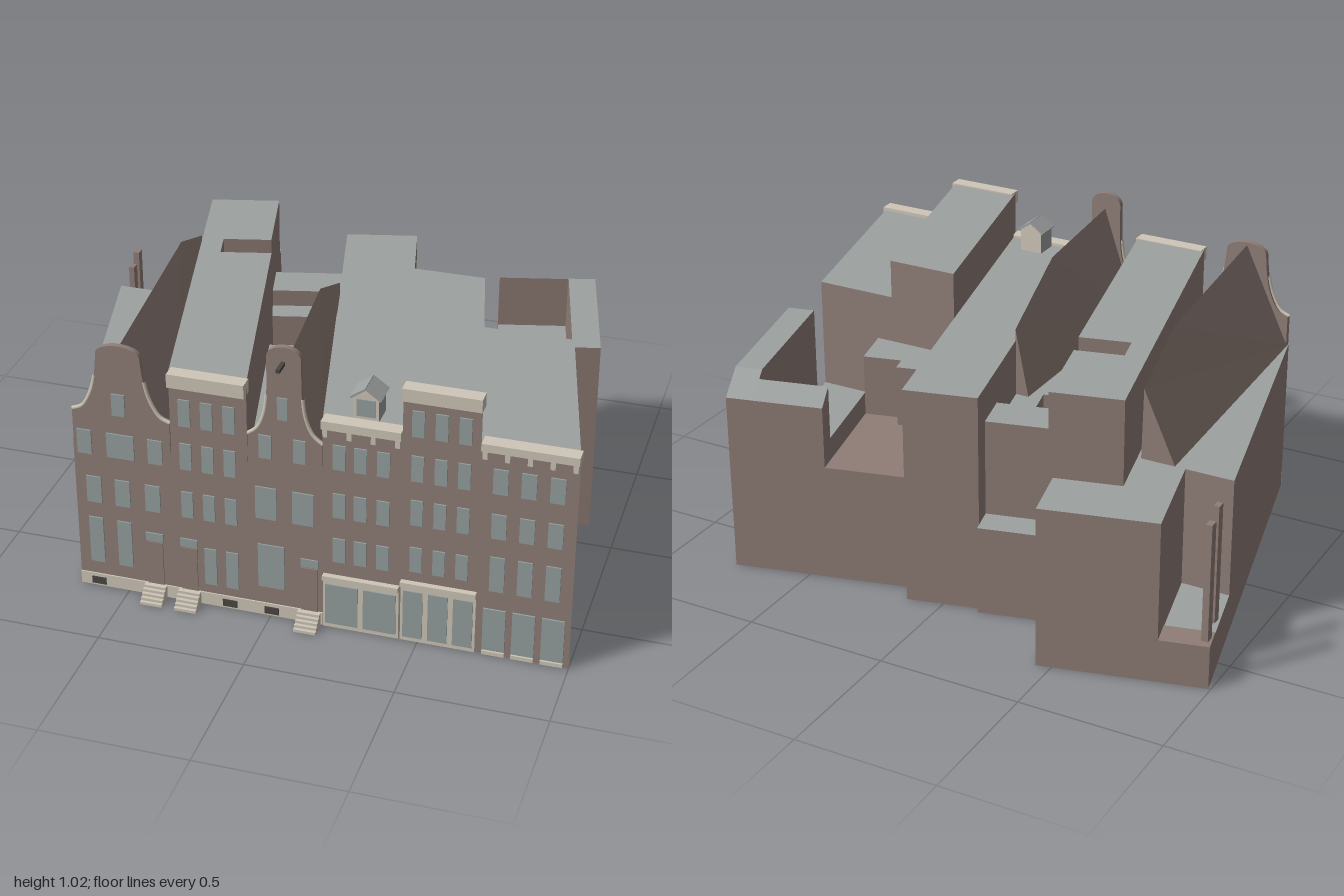
import * as THREE from 'three';

const mat = (name, color) => {
  const m = new THREE.MeshStandardMaterial({ color });
  m.name = name;
  return m;
};

export function createModel() {
  const brick = mat('brick', 0x8f7d76);
  const roof = mat('roofGrey', 0x9da1a0);
  const glass = mat('windowGlass', 0x95a09f);
  const trim = mat('paleTrim', 0xcfc7b8);
  const iron = mat('darkIron', 0x4b4644);
  const model = new THREE.Group();
  model.name = 'canalHouseRow';
  const FRONT = 0.72, LEAN = 0.235;

  const add = (name, geo, material) => {
    const m = new THREE.Mesh(geo, material);
    m.name = name;
    model.add(m);
    return m;
  };
  // box given by its extents
  const box = (name, x0, x1, y0, y1, z0, z1, material) => {
    const g = new THREE.BoxGeometry(x1 - x0, y1 - y0, z1 - z0);
    g.translate((x0 + x1) / 2, (y0 + y1) / 2, (z0 + z1) / 2);
    return add(name, g, material);
  };

  // plots lean sideways toward the back; u is the position along the street
  const plotPoint = (u, z) => new THREE.Vector2(u - LEAN * (FRONT - z), -z);
  const street = (z) => (u) => plotPoint(u, z); // edge parallel to the street
  const square = (w) => (u) => plotPoint(u, w - LEAN * u); // edge square to the leaning walls
  const prism = (name, pts, y0, y1, top) => {
    const g = new THREE.ExtrudeGeometry(new THREE.Shape(pts), { depth: y1 - y0, bevelEnabled: false });
    g.rotateX(-Math.PI / 2);
    g.translate(0, y0, 0);
    return add(name, g, [top, brick]);
  };
  // block between two party walls, standing on a brick base
  const plot = (name, height, u0, u1, front, back, top = roof) => {
    const pts = [front(u0), front(u1), back(u1), back(u0)];
    prism(name + 'Base', pts, 0, 0.004, brick);
    return prism(name, pts, 0.004, height, top);
  };
  // block whose top falls toward its back edge
  const slopedPlot = (name, height, backHeight, u0, u1, w0, w1) => {
    const g = plot(name, height, u0, u1, square(w0), square(w1)).geometry;
    const p = g.attributes.position;
    for (let i = 0; i < p.count; i++) {
      const z = p.getZ(i), u = p.getX(i) + LEAN * (FRONT - z);
      if (p.getY(i) > 0.1 && z + LEAN * u < (w0 + w1) / 2) p.setY(i, backHeight);
    }
    g.computeVertexNormals();
  };

  // bell gable house with rear wing and corner terrace
  plot('bellGableHouse', 0.57, -0.67, -0.33, street(FRONT), street(-0.33));
  plot('bellGableRear', 0.57, -0.5, -0.33, street(-0.33), square(-0.81));
  plot('bellGableWing', 0.57, -0.33, -0.095, square(-0.6), square(-0.81));
  plot('cornerTerrace', 0.15, -0.67, -0.5, street(-0.33), square(-0.81));
  plot('terraceFloor', 0.154, -0.67, -0.5, square(-0.72), square(-0.81), brick);
  box('terracePost', -0.975, -0.952, 0.15, 0.57, -0.63, -0.6, brick);
  box('terracePost', -0.945, -0.925, 0.15, 0.57, -0.51, -0.48, brick);
  // tall house around a light well
  plot('tallHouse', 0.87, -0.33, -0.07, street(FRONT), square(-0.19));
  plot('tallHouseLink', 0.87, -0.33, -0.253, square(-0.19), square(-0.29));
  plot('tallHouseRear', 0.87, -0.33, -0.08, square(-0.29), square(-0.605));
  // neck gable house, light well and stepped rear rooms
  plot('neckGableHouse', 0.58, -0.07, 0.18, street(FRONT), square(-0.06));
  plot('neckGableLink', 0.58, 0.086, 0.18, square(-0.06), square(-0.23));
  [[0.6, -0.23, -0.31], [0.66, -0.31, -0.45], [0.32, -0.45, -0.55]].forEach(([h, w0, w1]) =>
    plot('neckGableRearRoom', h, -0.08, 0.18, square(w0), square(w1)));
  // shop houses
  plot('longShopHouse', 0.78, 0.18, 0.44, street(FRONT), square(-0.527));
  plot('tallShopHouse', 0.945, 0.44, 0.69, street(FRONT), street(-0.06));
  plot('endShopHouse', 0.785, 0.69, 1, street(FRONT), street(-0.015));
  // yard and low buildings behind the shops
  plot('rearAnnex', 0.64, 0.44, 0.61, street(-0.06), square(-0.095));
  plot('rearAnnex', 0.64, 0.61, 0.75, street(-0.06), square(-0.04));
  plot('rearYard', 0.42, 0.44, 0.75, square(-0.04), square(-0.453), brick);
  plot('endLowLink', 0.39, 0.69, 1, street(-0.015), square(-0.04));
  plot('endRearBlock', 0.5, 0.75, 1, square(-0.04), square(-0.39));
  plot('yardSideWall', 0.71, 1, 1.097, square(0.138), square(-0.356));
  slopedPlot('yardSideWallEnd', 0.71, 0.64, 1, 1.097, -0.356, -0.453);
  slopedPlot('yardBackWall', 0.69, 0.64, 0.75, 1, -0.39, -0.453);

  // steep roof behind a gable: eaves and ridge at front and back, ridge dropping past the kink
  const steepRoof = (name, y, left, ridge, right, zBack, zKink, yRidge) => {
    const z0 = FRONT - 0.01, t = (FRONT - zKink) / (FRONT - zBack);
    const L0 = [left[0], y, z0], L1 = [left[1], y, zBack];
    const R0 = [ridge[0], yRidge, z0], R1 = [ridge[1], 0.82, zBack];
    const Rk = [ridge[0] + (ridge[1] - ridge[0]) * t, yRidge, zKink];
    const E0 = [right, y, z0], E1 = [ridge[1] + 0.005, y, zBack];
    const tris = [L0, R1, L1, L0, Rk, R1, L0, R0, Rk, E0, Rk, R0, E0, R1, Rk, E0, E1, R1, L1, R1, E1];
    const g = new THREE.BufferGeometry();
    g.setAttribute('position', new THREE.Float32BufferAttribute(tris.flat(), 3));
    g.computeVertexNormals();
    add(name, g, brick);
  };
  steepRoof('bellGableRoof', 0.57, [-0.67, -0.71], [-0.5, -0.595], -0.33, -0.33, -0.06, 0.925);
  steepRoof('neckGableRoof', 0.58, [-0.07, -0.065], [0.06, -0.016], 0.18, -0.12, 0.2, 0.96);

  // curved gable: half an outline mirrored about the centre line, with a rounded top
  const gable = (name, cx, half, top, bottom) => {
    const curve = new THREE.SplineCurve(half.map(([x, y]) => new THREE.Vector2(x, y))).getPoints(24);
    const right = [...curve];
    const [r, yArc] = half[half.length - 1];
    for (let i = 1; i <= 8; i++) {
      const a = (i / 8) * Math.PI / 2;
      right.push(new THREE.Vector2(r * Math.cos(a), yArc + (top - yArc) * Math.sin(a)));
    }
    const left = right.slice(0, -1).reverse().map((p) => new THREE.Vector2(-p.x, p.y));
    const w = half[0][0];
    const shape = new THREE.Shape([new THREE.Vector2(-w, bottom), new THREE.Vector2(w, bottom), ...right, ...left]);
    const g = new THREE.ExtrudeGeometry(shape, { depth: 0.02, bevelEnabled: false });
    g.translate(cx, 0, FRONT - 0.02);
    add(name, g, brick);
    // pale scroll edging
    [-1, 1].forEach((s) => {
      const path = new THREE.CatmullRomCurve3(curve.slice(0, 18).map((p) => new THREE.Vector3(cx + s * p.x, p.y, FRONT - 0.005)));
      add(name + 'Edging', new THREE.TubeGeometry(path, 20, 0.007, 6), trim);
    });
  };
  gable('bellGable', -0.5, [[0.168, 0.68], [0.13, 0.7], [0.098, 0.76], [0.082, 0.83], [0.075, 0.9]], 0.935, 0.56);
  gable('neckGable', 0.055, [[0.124, 0.69], [0.09, 0.72], [0.067, 0.78], [0.058, 0.86], [0.057, 0.98]], 1.02, 0.57);
  box('hoistBeam', 0.047, 0.06, 0.958, 0.97, FRONT - 0.02, 0.775, iron);

  // windows: column centres, width, height, sill heights
  const windows = (cols, w, h, sills) => sills.forEach((y) => cols.forEach((x) =>
    box('window', x - w / 2, x + w / 2, y, y + h, FRONT, FRONT + 0.005, glass)));
  windows([-0.505], 0.045, 0.08, [0.68]);
  windows([-0.63, -0.385], 0.05, 0.09, [0.52]);
  windows([-0.505], 0.095, 0.09, [0.52]);
  windows([-0.605, -0.505, -0.4], 0.052, 0.1, [0.335]);
  windows([-0.605, -0.505], 0.05, 0.175, [0.1]);
  windows([-0.28, -0.205, -0.13], 0.04, 0.098, [0.68, 0.518, 0.335]);
  windows([-0.205, -0.13], 0.042, 0.14, [0.085]);
  windows([0.05], 0.035, 0.08, [0.76]);
  windows([-0.01, 0.105], 0.042, 0.085, [0.61]);
  windows([-0.01, 0.115], 0.072, 0.12, [0.38]);
  windows([0.005], 0.09, 0.165, [0.115]);
  windows([0.235, 0.305, 0.38], 0.042, 0.09, [0.61, 0.43, 0.26]);
  windows([0.49, 0.565, 0.64], 0.04, 0.093, [0.775, 0.613, 0.45, 0.273]);
  windows([0.755, 0.845, 0.935], 0.048, 0.09, [0.615, 0.45]);
  windows([0.755, 0.845, 0.935], 0.048, 0.13, [0.25]);

  // cornices with evenly spaced brackets
  const cornice = (x0, x1, y0, y1, brackets) => {
    box('cornice', x0, x1, y0, y1, FRONT - 0.03, FRONT + 0.02, trim);
    for (let i = 0; i < brackets; i++) {
      const x = x0 + 0.012 + (i / (brackets - 1)) * (x1 - x0 - 0.024);
      box('corniceBracket', x - 0.008, x + 0.008, y0 - 0.03, y0, FRONT, FRONT + 0.015, trim);
    }
  };
  cornice(-0.33, -0.072, 0.825, 0.873, 0);
  cornice(0.18, 0.44, 0.76, 0.79, 4);
  cornice(0.44, 0.693, 0.905, 0.95, 0);
  cornice(0.693, 1, 0.77, 0.798, 5);

  // pale plinth with cellar windows
  box('plinth', -0.67, 0.18, 0.004, 0.05, FRONT, FRONT + 0.005, trim);
  [-0.605, -0.14, 0.005].forEach((x) =>
    box('cellarWindow', x - 0.025, x + 0.025, 0.012, 0.038, FRONT + 0.004, FRONT + 0.009, iron));

  // front doors with fanlights and stepped stoops
  [-0.4, -0.28, 0.135].forEach((x) => {
    box('frontDoor', x - 0.028, x + 0.028, 0.05, 0.215, FRONT, FRONT + 0.004, brick);
    windows([x], 0.06, 0.03, [0.22]);
    for (let i = 0; i < 5; i++) {
      box('stoopStep', x - 0.038, x + 0.038, i * 0.01, (i + 1) * 0.01, FRONT, 0.785 - i * 0.011, trim);
    }
  });

  // shopfronts: pale frame, projecting head, evenly divided glass panes
  const shop = (x0, x1, top, panes) => {
    box('shopFrame', x0, x1, 0.004, top, FRONT, FRONT + 0.008, trim);
    box('shopHead', x0, x1, top - 0.018, top, FRONT, FRONT + 0.02, trim);
    const step = (x1 - x0) / panes;
    for (let i = 0; i < panes; i++) {
      box('shopPane', x0 + i * step + 0.009, x0 + (i + 1) * step - 0.009, 0.02, top - 0.035, FRONT + 0.007, FRONT + 0.012, glass);
    }
  };
  shop(0.182, 0.437, 0.208, 2);
  shop(0.443, 0.692, 0.235, 3);
  for (let i = 0; i < 3; i++) {
    const x = 0.715 + i * 0.096;
    box('shopWindow', x, x + 0.074, 0.02, 0.18, FRONT, FRONT + 0.006, glass);
    box('shopSill', x, x + 0.074, 0.004, 0.018, FRONT, FRONT + 0.01, trim);
  }

  // roof dormer with a small pitched top
  const dormer = new THREE.Shape();
  dormer.moveTo(0.268, 0.78).lineTo(0.352, 0.78).lineTo(0.352, 0.86).lineTo(0.31, 0.89).lineTo(0.268, 0.86);
  const dormerGeo = new THREE.ExtrudeGeometry(dormer, { depth: 0.08, bevelEnabled: false });
  dormerGeo.translate(0, 0, 0.6);
  add('dormer', dormerGeo, [trim, roof]);
  box('dormerWindow', 0.28, 0.34, 0.795, 0.855, 0.68, 0.684, glass);
  [-1, 1].forEach((s) => {
    const slope = add('dormerRoof', new THREE.BoxGeometry(0.062, 0.007, 0.09), roof);
    slope.position.set(0.31 + s * 0.025, 0.876, 0.64);
    slope.rotation.z = -s * 0.62;
  });

  return model;
}
